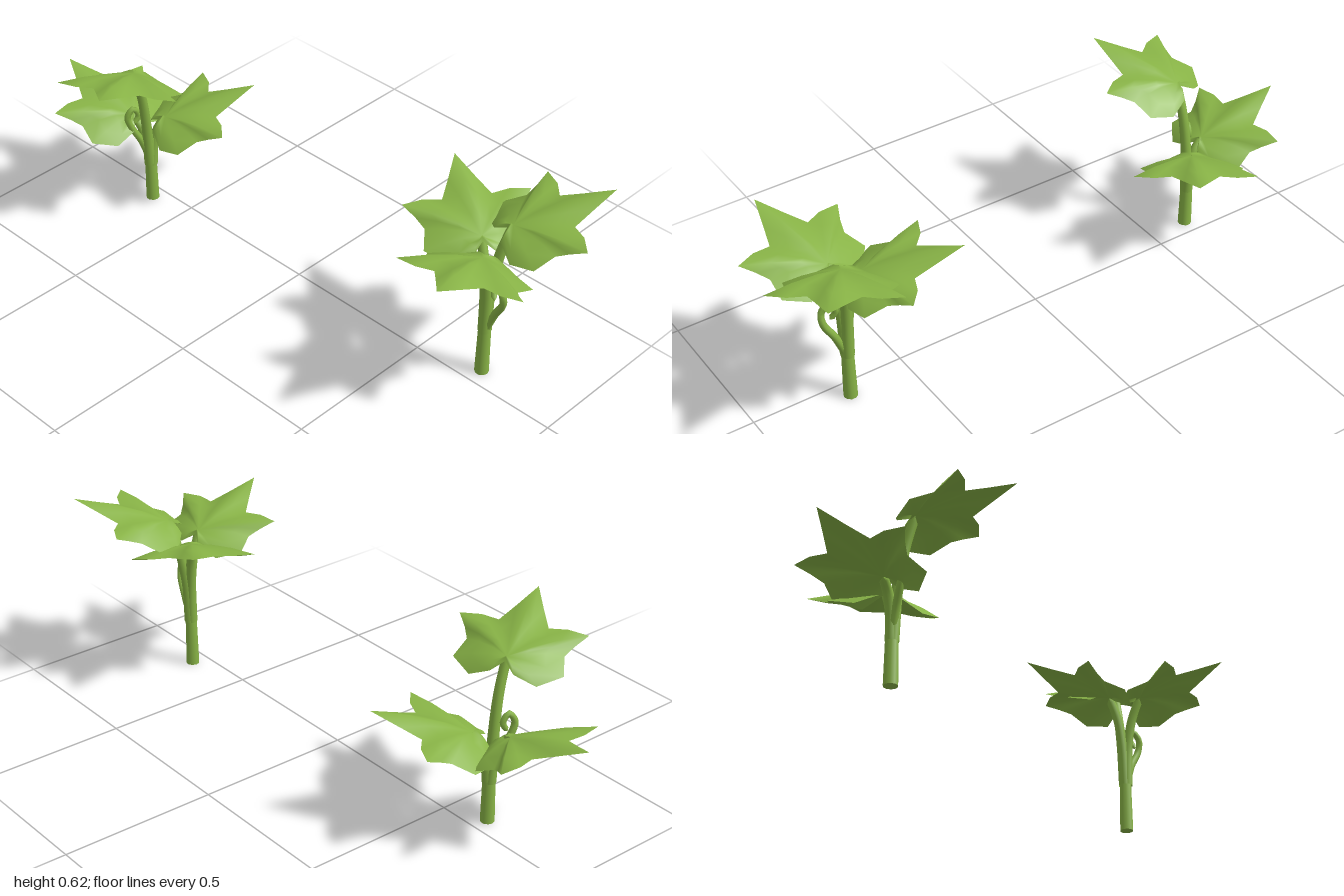
import * as THREE from 'three';

const V = (p) => new THREE.Vector3(...p);

// Half outline of a lobed leaf: [side, height, along], from tip round to base notch
const HALF = [
  [0, 0.085, 0.295], [0.042, 0.052, 0.215], [0.075, 0.028, 0.155], [0.13, 0.03, 0.165],
  [0.195, 0.028, 0.155], [0.165, 0.006, 0.115], [0.146, -0.012, 0.08], [0.165, -0.04, 0.015],
  [0.1, -0.06, -0.035], [0.035, -0.03, -0.045], [0, -0.008, -0.015],
];

// Domed leaf blade: rings shrinking from the outline to the stalk
function leafGeometry() {
  const mirrored = HALF.slice(1, -1).reverse().map(([x, y, z]) => [-x, y, z]);
  const outline = [...HALF, ...mirrored];
  const n = outline.length, rings = [0.33, 0.67, 1];
  const pos = [0, 0, 0], index = [];
  rings.forEach((t) => outline.forEach(([x, y, z]) => {
    // blend toward a rounder shape near the centre so the lobes only form outside
    const r = Math.hypot(x, z) || 1, k = 1 + (1 - t) * (0.17 / Math.max(r, 0.1) - 1) * 0.4;
    pos.push(x * t * k, y * t + 0.04 * t * (1 - t), z * t * k);
  }));
  for (let i = 0; i < n; i++) {
    const j = (i + 1) % n;
    index.push(0, 1 + i, 1 + j);
    for (let r = 0; r < rings.length - 1; r++) {
      const a = 1 + r * n, b = a + n;
      index.push(a + i, b + i, b + j, a + i, b + j, a + j);
    }
  }
  const g = new THREE.BufferGeometry();
  g.setAttribute('position', new THREE.Float32BufferAttribute(pos, 3));
  g.setIndex(index);
  g.computeVertexNormals();
  return g;
}

// Tube along points, tapering from r0 to r1 and closing at the end
function taperedTube(points, r0, r1, steps = 18, sides = 10) {
  const curve = new THREE.CatmullRomCurve3(points.map(V));
  const g = new THREE.TubeGeometry(curve, steps, 1, sides, false);
  const p = g.attributes.position, v = new THREE.Vector3();
  for (let i = 0; i <= steps; i++) {
    const c = curve.getPointAt(i / steps);
    const r = i === steps ? 0.0005 : r0 + (r1 - r0) * i / steps;
    for (let j = 0; j <= sides; j++) {
      const k = i * (sides + 1) + j;
      v.fromBufferAttribute(p, k).sub(c).multiplyScalar(r).add(c);
      p.setXYZ(k, v.x, v.y, v.z);
    }
  }
  return g;
}

// base: trunk foot; leaves: stalk path ending at the blade, and the blade's heading [x, z]
const PLANTS = [
  {
    name: 'frontPlant', base: [0.056, 0, 0.705],
    leaves: [
      { path: [[0.06, 0.16, 0.705], [0.067, 0.3, 0.705], [0.085, 0.42, 0.715], [0.113, 0.53, 0.735]], dir: [0.24, 0.17] },
      { path: [[0.052, 0.16, 0.707], [0.046, 0.3, 0.71], [0.03, 0.39, 0.713], [0.002, 0.468, 0.72]], dir: [-0.29, 0.075] },
      { path: [[0.056, 0.16, 0.702], [0.058, 0.3, 0.695], [0.064, 0.39, 0.68], [0.078, 0.465, 0.652]], dir: [0.155, -0.235] },
    ],
    sprout: [[0.054, 0.175, 0.713], [0.054, 0.24, 0.74], [0.046, 0.3, 0.772], [0.04, 0.34, 0.77],
      [0.05, 0.365, 0.745], [0.052, 0.335, 0.73], [0.04, 0.3, 0.745]],
  },
  {
    name: 'backPlant', base: [-0.049, 0.004, -0.635],
    leaves: [
      { path: [[-0.052, 0.14, -0.635], [-0.062, 0.3, -0.633], [-0.08, 0.42, -0.628], [-0.111, 0.525, -0.622]], dir: [-0.243, 0.133] },
      { path: [[-0.047, 0.14, -0.633], [-0.038, 0.22, -0.63], [-0.022, 0.275, -0.622], [0, 0.312, -0.61]], dir: [0.22, 0.15] },
      { path: [[-0.05, 0.14, -0.638], [-0.052, 0.22, -0.645], [-0.056, 0.275, -0.665], [-0.064, 0.312, -0.698]], dir: [-0.01, -0.3] },
    ],
    sprout: [[-0.054, 0.175, -0.64], [-0.075, 0.24, -0.65], [-0.1, 0.295, -0.665], [-0.11, 0.335, -0.668],
      [-0.092, 0.362, -0.66], [-0.075, 0.335, -0.655], [-0.09, 0.305, -0.66]],
  },
];

export function createModel() {
  const green = new THREE.MeshStandardMaterial({ color: 0x88b346, side: THREE.DoubleSide });
  green.name = 'leafGreen';
  const blade = leafGeometry();
  const model = new THREE.Group();
  const add = (parent, name, geometry) => {
    const mesh = new THREE.Mesh(geometry, green);
    mesh.name = name;
    parent.add(mesh);
    return mesh;
  };

  for (const { name, base, leaves, sprout } of PLANTS) {
    const plant = new THREE.Group();
    plant.name = name;

    // Trunk, closed at the foot
    const trunk = add(plant, 'trunk', new THREE.CylinderGeometry(0.018, 0.022, 0.24, 10));
    trunk.position.set(base[0], base[1] + 0.12, base[2]);

    // Stalks with their blades
    leaves.forEach(({ path, dir }) => {
      add(plant, 'stalk', taperedTube(path, 0.019, 0.014));
      const leaf = add(plant, 'leaf', blade);
      leaf.position.set(...path[path.length - 1]);
      leaf.rotation.y = Math.atan2(dir[0], dir[1]);
    });

    // Young curled shoot
    add(plant, 'curledShoot', taperedTube(sprout, 0.013, 0.009, 24, 8));
    model.add(plant);
  }
  return model;
}
